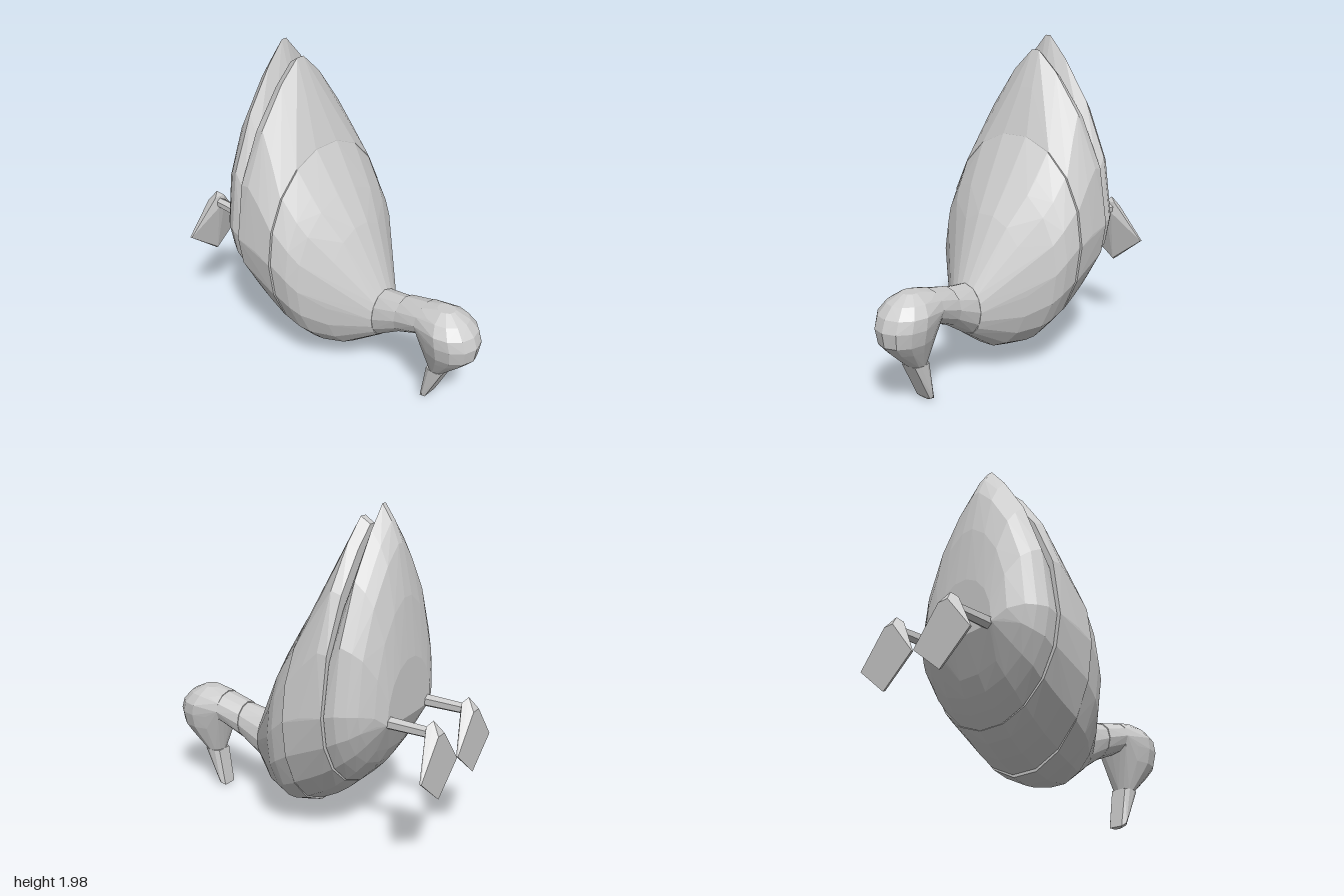
import * as THREE from 'three';
import { ConvexGeometry } from 'three/addons/geometries/ConvexGeometry.js';

const material = new THREE.MeshStandardMaterial({ color: 0xcccccc, flatShading: true });
const V = (x, y, z) => new THREE.Vector3(x, y, z);

// Faceted solid wrapped around a set of points
function solid(name, points) {
  const mesh = new THREE.Mesh(new ConvexGeometry(points), material);
  mesh.name = name;
  return mesh;
}

// Egg-shaped section in the XY plane: rounded below the widest height,
// tapering above it (power 0.5 = ellipse, 1 = pointed parabola)
function eggRing([z, bottom, top, halfWidth, widest, power = 0.5], n = 18) {
  const points = [];
  for (let i = 0; i < n; i++) {
    const a = (i / n) * Math.PI * 2;
    const s = Math.sin(a), c = Math.cos(a);
    const y = s > 0 ? widest + (top - widest) * s : widest + (widest - bottom) * s;
    const x = s > 0 ? Math.sign(c) * halfWidth * Math.pow(Math.abs(c), power * 2) : halfWidth * c;
    points.push(V(x, y, z));
  }
  return points;
}

// Elliptical section in the XZ plane
function flatRing([y, zBack, zFront, halfWidth], n = 12) {
  const points = [];
  for (let i = 0; i < n; i++) {
    const a = (i / n) * Math.PI * 2;
    points.push(V(halfWidth * Math.cos(a), y, (zBack + zFront) / 2 + (zFront - zBack) / 2 * Math.sin(a)));
  }
  return points;
}

const loft = (name, rings, n) => solid(name, rings.flatMap((r) => eggRing(r, n)));

export function createModel() {
  const model = new THREE.Group();
  model.name = 'duck';

  // Body in three slabs: z, bottom, top, half width, widest height, taper
  model.add(loft('bodyBack', [
    [0.315, 0.28, 0.60, 0.12, 0.44],
    [0.12, 0.145, 0.98, 0.31, 0.53],
    [0.0, 0.122, 1.17, 0.43, 0.65],
    [-0.06, 0.12, 1.26, 0.465, 0.72],
    [-0.155, 0.145, 1.42, 0.49, 0.8],
  ]));
  model.add(loft('bodyMiddle', [
    [-0.16, 0.16, 1.42, 0.5, 0.8],
    [-0.27, 0.22, 1.7, 0.5, 0.85, 0.7],
    [-0.36, 0.29, 1.92, 0.5, 0.87, 0.85],
    [-0.42, 0.35, 1.88, 0.5, 0.88, 0.9],
  ]));
  model.add(loft('bodyBelly', [
    [-0.425, 0.35, 1.75, 0.48, 0.88, 0.9],
    [-0.49, 0.42, 2.0, 0.48, 0.9, 0.95],
    [-0.55, 0.5, 1.91, 0.45, 0.9, 0.9],
    [-0.6, 0.59, 1.79, 0.41, 0.9, 0.8],
    [-0.655, 0.72, 1.5, 0.33, 0.88, 0.6],
    [-0.69, 0.8, 1.15, 0.25, 0.82],
  ]));

  // Neck
  model.add(loft('neckBase', [[0.31, 0.28, 0.6, 0.12, 0.44], [0.48, 0.39, 0.622, 0.108, 0.506]], 12));
  model.add(loft('neckTop', [[0.48, 0.39, 0.63, 0.112, 0.51], [0.64, 0.46, 0.665, 0.125, 0.56]], 12));

  // Head: y, back z, front z, half width
  const head = [
    [0.25, 0.69, 0.81, 0.068],
    [0.36, 0.665, 0.93, 0.115],
    [0.42, 0.65, 0.985, 0.14],
    [0.51, 0.638, 1.0, 0.16],
    [0.58, 0.64, 0.975, 0.16],
    [0.64, 0.65, 0.92, 0.12],
    [0.685, 0.72, 0.83, 0.05],
  ].flatMap((r) => flatRing(r));
  model.add(solid('head', [...head, ...eggRing([0.64, 0.46, 0.67, 0.125, 0.56], 12)]));

  // Bill
  const bill = [];
  for (const s of [-1, 1]) {
    bill.push(V(s * 0.066, 0.25, 0.72), V(s * 0.05, 0.25, 0.69), V(s * 0.05, 0.25, 0.805), V(s * 0.066, 0.25, 0.77),
      V(s * 0.064, 0.03, 0.675), V(s * 0.05, 0.02, 0.69), V(s * 0.045, 0.01, 0.65), V(s * 0.02, 0, 0.67));
  }
  model.add(solid('bill', bill));

  // Legs and webbed feet
  for (const [side, s] of [['left', 1], ['right', -1]]) {
    const cx = 0.215 * s;
    const leg = new THREE.Mesh(new THREE.CylinderGeometry(0.032, 0.038, 0.26, 6), material);
    leg.name = side + 'Leg';
    leg.rotation.x = -Math.PI / 2;
    leg.position.set(cx, 0.825, -0.81);
    model.add(leg);

    const foot = [V(cx, 0.45, -1), V(cx, 0.46, -0.985), V(cx, 0.9, -0.95)];
    for (const e of [-1, 1]) {
      foot.push(V(cx + e * 0.21, 0.62, -1), V(cx + e * 0.208, 0.62, -0.988),
        V(cx + e * 0.035, 0.83, -1), V(cx + e * 0.035, 0.87, -0.925), V(cx + e * 0.02, 0.8, -0.912));
    }
    model.add(solid(side + 'Foot', foot));
  }
  return model;
}
